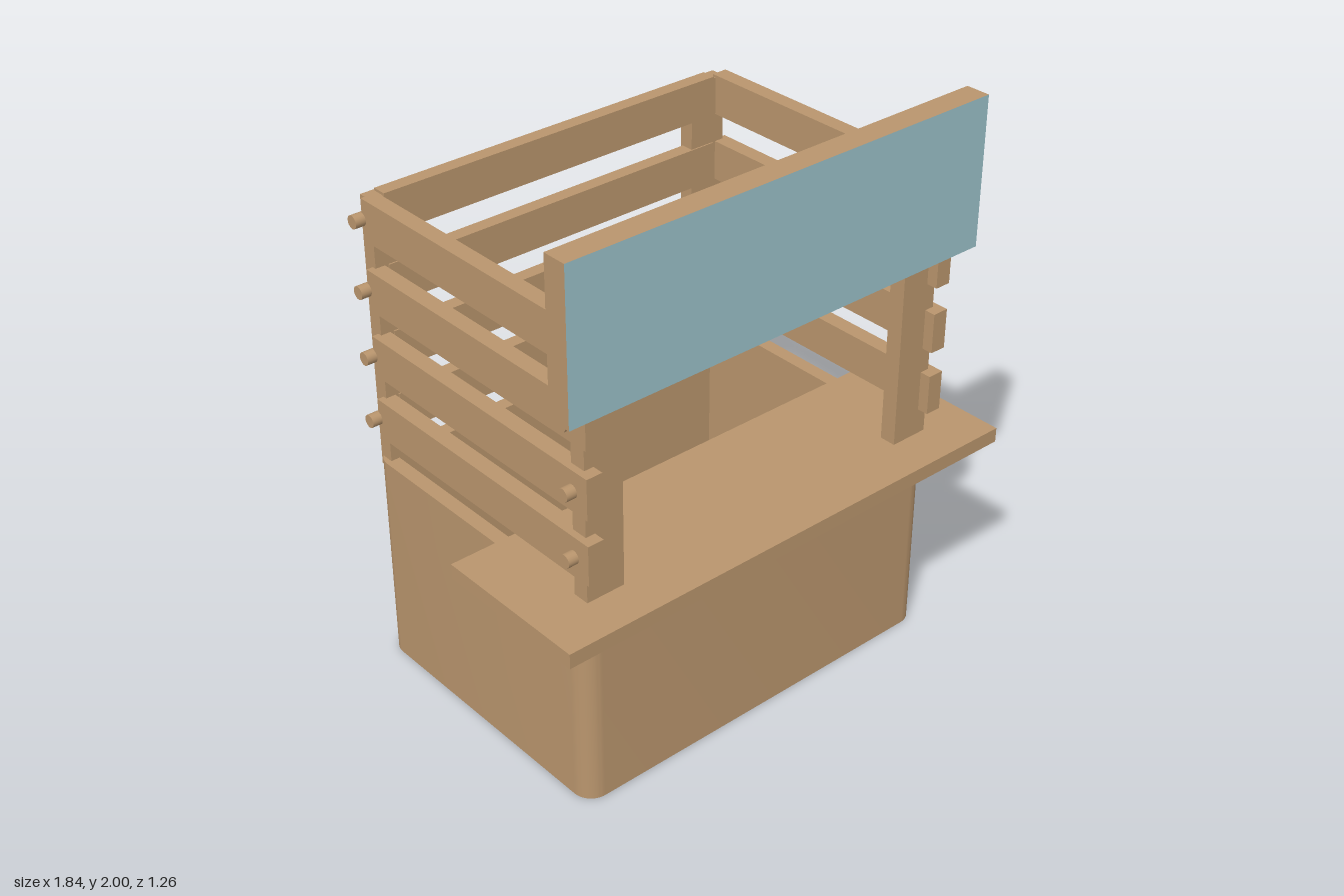
import * as THREE from 'three';
import { toCreasedNormals } from 'three/addons/utils/BufferGeometryUtils.js';

export function createModel() {
  const group = new THREE.Group();
  const wood = new THREE.MeshStandardMaterial({ color: 0xb9956d });
  wood.name = 'wood';
  const blue = new THREE.MeshStandardMaterial({ color: 0x9ac1c9 });
  blue.name = 'paleBlue';

  const add = (name, geometry, material = wood) => {
    const mesh = new THREE.Mesh(geometry, material);
    mesh.name = name;
    group.add(mesh);
    return mesh;
  };

  // Box given by its lower and upper limits on each axis
  const box = (name, x0, x1, y0, y1, z0, z1, material = wood) => {
    const mesh = add(name, new THREE.BoxGeometry(x1 - x0, y1 - y0, z1 - z0), material);
    mesh.position.set((x0 + x1) / 2, (y0 + y1) / 2, (z0 + z1) / 2);
    return mesh;
  };

  // Box mirrored to both sides of x = 0
  const pair = (name, x0, x1, y0, y1, z0, z1) => {
    box(name + 'Left', x0, x1, y0, y1, z0, z1);
    box(name + 'Right', -x1, -x0, y0, y1, z0, z1);
  };

  // Round peg lying along x or z
  const pegShape = (length) => new THREE.CylinderGeometry(0.023, 0.023, length, 20);
  const peg = (name, axis, length, x, y, z) => {
    const mesh = add(name, pegShape(length));
    if (axis === 'x') mesh.rotation.z = Math.PI / 2;
    else mesh.rotation.x = Math.PI / 2;
    mesh.position.set(x, y, z);
  };

  // Hollow base with rounded outer corners, open above and below
  const w = 0.748, front = 0.48, back = -0.612, r = 0.07, t = 0.052;
  const outline = new THREE.Shape();
  outline.moveTo(-w + r, -front);
  outline.lineTo(w - r, -front);
  outline.absarc(w - r, -front + r, r, -Math.PI / 2, 0);
  outline.absarc(w - r, -back - r, r, 0, Math.PI / 2);
  outline.absarc(-w + r, -back - r, r, Math.PI / 2, Math.PI);
  outline.absarc(-w + r, -front + r, r, Math.PI, Math.PI * 1.5);
  const hole = new THREE.Path();
  hole.moveTo(-w + t, -front + t);
  hole.lineTo(-w + t, -back - t);
  hole.lineTo(w - t, -back - t);
  hole.lineTo(w - t, -front + t);
  hole.closePath();
  outline.holes.push(hole);
  const base = new THREE.ExtrudeGeometry(outline, { depth: 0.784, bevelEnabled: false, curveSegments: 8 });
  base.rotateX(-Math.PI / 2);
  add('base', toCreasedNormals(base, 0.6));

  // Counter board
  box('counter', -0.92, 0.92, 0.735, 0.788, 0.05, 0.63);

  // Upright posts
  pair('frontPost', 0.585, 0.728, 0.78, 1.74, 0.415, 0.475);
  pair('backPost', 0.585, 0.728, 0.75, 1.74, -0.6, -0.545);

  // Rows of slats with pegs
  for (const y of [0.955, 1.19, 1.43, 1.677]) {
    pair('sideSlat', 0.693, 0.752, y - 0.072, y + 0.072, -0.56, y > 1.6 ? 0.48 : 0.515);
    box('backSlat', -0.68, 0.68, y - 0.072, y + 0.072, -0.592, -0.54);
    for (const s of [-1, 1]) {
      peg('sidePegBack', 'x', 0.08, s * 0.748, y, -0.563);
      peg('sidePegFront', 'x', 0.08, s * 0.748, y, 0.447);
      peg('backPeg', 'z', 0.08, s * 0.655, y, -0.59);
    }
  }

  // Sign board with a painted front face, pegged through the front posts
  box('sign', -0.833, 0.833, 1.475, 2, 0.457, 0.545, [wood, wood, wood, wood, blue, wood]);
  for (const s of [-1, 1]) {
    for (const y of [1.58, 1.675]) peg('signPeg', 'z', 0.08, s * 0.655, y, 0.418);
  }

  return group;
}
